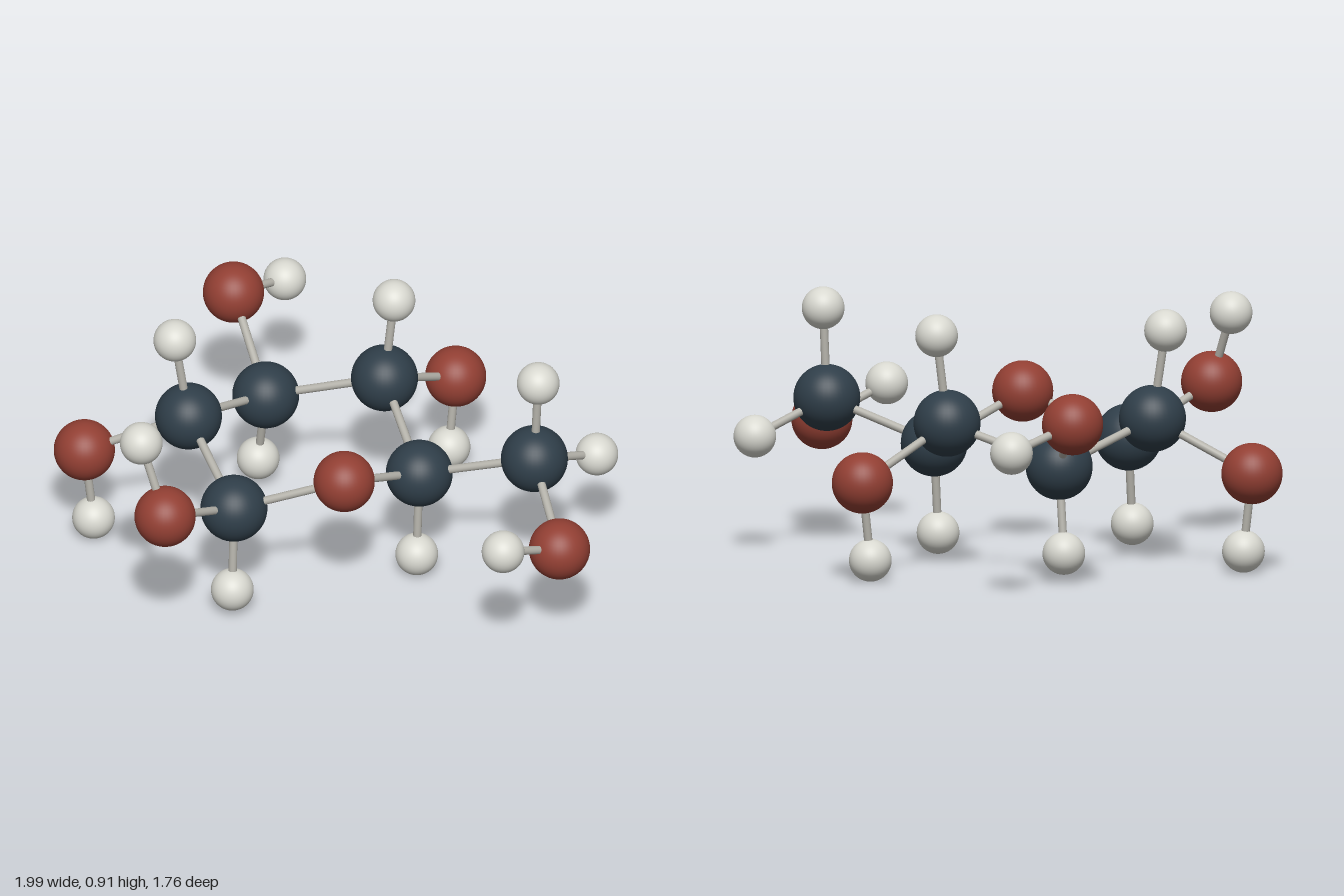
import * as THREE from 'three';

export function createModel() {
  const model = new THREE.Group();
  model.name = 'ringMolecule';

  const material = (name, color) => {
    const m = new THREE.MeshStandardMaterial({ color });
    m.name = name;
    return m;
  };
  // Ball types: size and colour
  const ball = (radius, mat) => ({ geometry: new THREE.SphereGeometry(radius, 40, 28), mat });
  const kinds = {
    carbon: ball(0.116, material('dark slate', 0x2f3e49)),
    oxygen: ball(0.106, material('brick red', 0x923f33)),
    hydrogen: ball(0.074, material('off white', 0xd8d8d0)),
  };
  const bondMaterial = material('bond grey', 0xb4b2aa);

  // Atom centres, numbered from 1 within each kind
  const centres = {
    carbon: [
      [-0.25, 0.40, 0.415],
      [-0.54, 0.527, 0.115],
      [-0.413, 0.40, -0.286],
      [0.0, 0.527, -0.36],
      [0.26, 0.395, -0.035],
      [0.67, 0.527, -0.083],
    ],
    oxygen: [
      [-0.363, 0.558, 0.773],
      [-0.894, 0.352, 0.20],
      [-0.644, 0.60, -0.562],
      [0.126, 0.352, -0.707],
      [0.122, 0.543, 0.318],
      [0.888, 0.396, 0.227],
    ],
    hydrogen: [
      [-0.24, 0.091, 0.455],
      [-0.586, 0.837, 0.127],
      [-0.457, 0.104, -0.325],
      [0.023, 0.835, -0.391],
      [0.262, 0.078, -0.007],
      [0.683, 0.84, -0.086],
      [0.797, 0.415, -0.347],
      [-0.467, 0.812, 0.735],
      [-0.861, 0.078, 0.197],
      [-0.553, 0.524, -0.812],
      [0.115, 0.078, -0.673],
      [0.772, 0.50, 0.462],
    ],
  };
  const atoms = {};
  for (const [kind, list] of Object.entries(centres)) {
    list.forEach((centre, i) => {
      const mesh = new THREE.Mesh(kinds[kind].geometry, kinds[kind].mat);
      mesh.name = `${kind}${i + 1}`;
      mesh.position.set(...centre);
      atoms[mesh.name] = mesh.position;
      model.add(mesh);
    });
  }

  // Bonds: thin rods between atom centres
  const up = new THREE.Vector3(0, 1, 0);
  const rod = new THREE.CylinderGeometry(0.0145, 0.0145, 1, 20);
  const addBond = (a, b) => {
    const start = atoms[a];
    const end = atoms[b];
    const mesh = new THREE.Mesh(rod, bondMaterial);
    mesh.name = `bond ${a} ${b}`;
    mesh.position.lerpVectors(start, end, 0.5);
    mesh.scale.y = start.distanceTo(end);
    mesh.quaternion.setFromUnitVectors(up, end.clone().sub(start).normalize());
    model.add(mesh);
  };

  // Six-sided ring
  const ring = ['carbon1', 'carbon2', 'carbon3', 'carbon4', 'carbon5', 'oxygen5'];
  ring.forEach((a, i) => addBond(a, ring[(i + 1) % ring.length]));

  // One hydrogen on every carbon, plus the side arm
  for (let i = 1; i <= 6; i++) addBond(`carbon${i}`, `hydrogen${i}`);
  addBond('carbon5', 'carbon6');
  addBond('carbon6', 'hydrogen7');

  // Oxygen and hydrogen branches
  [[1, 8], [2, 9], [3, 10], [4, 11], [6, 12]].forEach(([o, h]) => {
    addBond(`carbon${o}`, `oxygen${o}`);
    addBond(`oxygen${o}`, `hydrogen${h}`);
  });

  return model;
}
